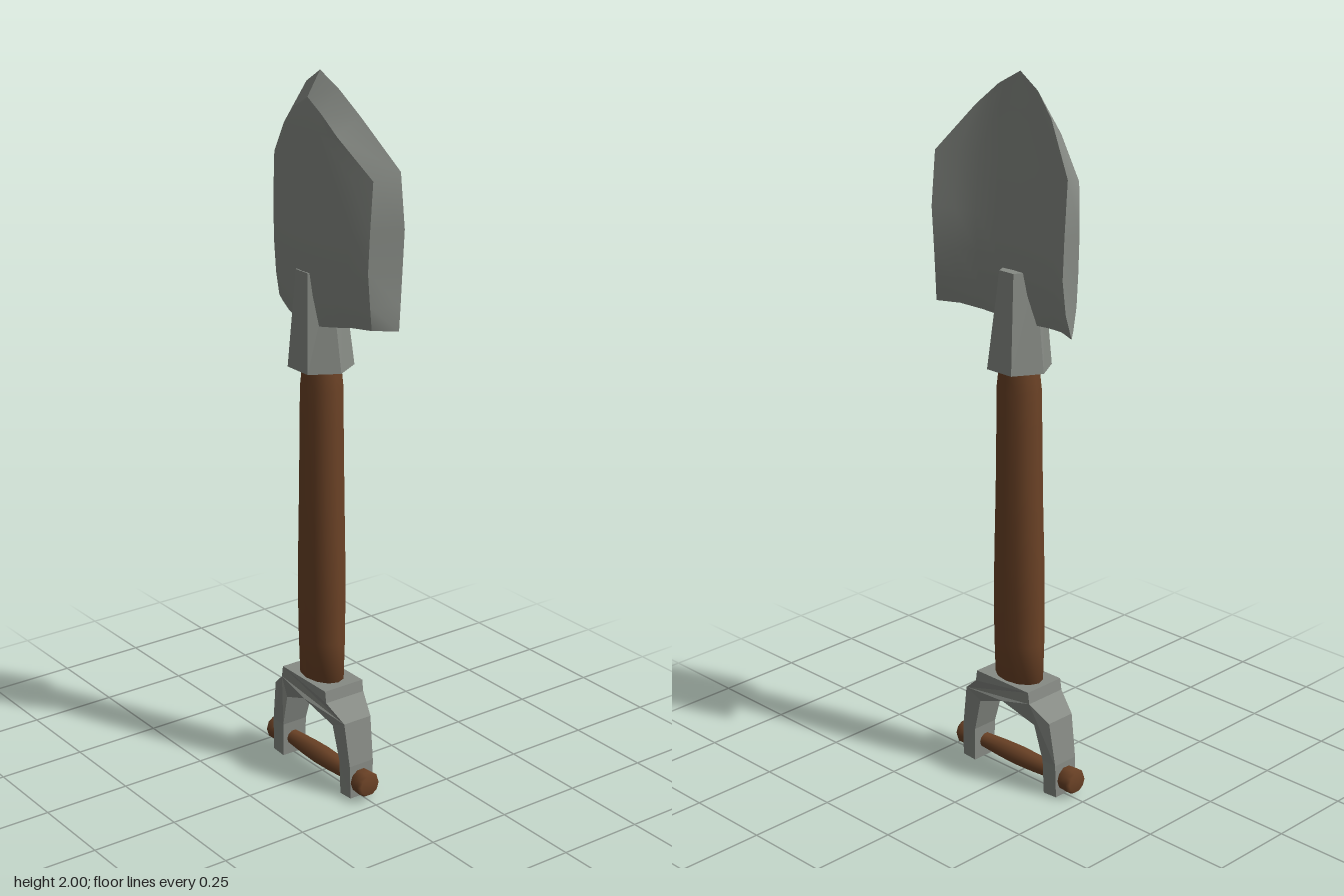
import * as THREE from 'three';
import { mergeGeometries } from 'three/addons/utils/BufferGeometryUtils.js';

const steel = new THREE.MeshStandardMaterial({ color: 0x868a84 });
steel.name = 'steel grey';
const wood = new THREE.MeshStandardMaterial({ color: 0x6b4226 });
wood.name = 'brown wood';

function part(name, geometry, material) {
  const mesh = new THREE.Mesh(geometry, material);
  mesh.name = name;
  return mesh;
}

// Smooth surface through rows of points
function sheet(rows) {
  const n = rows[0].length;
  const index = [];
  for (let i = 0; i < rows.length - 1; i++) {
    for (let j = 0; j < n - 1; j++) {
      const a = i * n + j, b = a + 1, c = a + n, d = c + 1;
      index.push(a, b, c, b, d, c);
    }
  }
  const g = new THREE.BufferGeometry().setFromPoints(rows.flat());
  g.setIndex(index);
  g.computeVertexNormals();
  return g;
}

function flat(geometry) {
  const g = geometry.index ? geometry.toNonIndexed() : geometry;
  g.computeVertexNormals();
  return g;
}

// Bowed blade face: sections are [y, half width, centre z]
function bladeRows(sections, bow) {
  return sections.map(([y, w, z], i) => {
    const row = [];
    for (let j = -4; j <= 4; j++) {
      const u = j / 4, x = u * w;
      const lift = i === 0 ? 0.025 * Math.min(1, Math.abs(u) * 1.3) : 0;
      row.push(new THREE.Vector3(x, y + lift, z - bow * x * x));
    }
    return row;
  });
}

function blade() {
  const front = bladeRows([
    [1.33, 0.205, 0.05], [1.42, 0.208, 0.06], [1.51, 0.207, 0.066], [1.62, 0.212, 0.067],
    [1.75, 0.215, 0.062], [1.85, 0.115, 0.056], [1.9, 0.06, 0.052], [1.935, 0, 0.047],
  ], 1.35);
  const back = bladeRows([
    [1.33, 0.25, 0.005], [1.42, 0.24, -0.012], [1.51, 0.236, -0.022], [1.62, 0.242, -0.02],
    [1.77, 0.24, -0.008], [1.9, 0.135, 0], [1.96, 0.07, 0.004], [2, 0, 0.007],
  ], 1.05);
  const right = front.map((r, i) => [r[8], back[i][8]]);
  const left = front.map((r, i) => [r[0], back[i][0]]).reverse();
  const bottom = front[0].map((p, j) => [p, back[0][j]]);
  return mergeGeometries([
    sheet(front),
    sheet(back.map((r) => [...r].reverse())),
    sheet(right), sheet(left), sheet(bottom),
  ]);
}

// Tapered six-sided collar joining the blade to the shaft
function socket() {
  const g = new THREE.CylinderGeometry(0.052, 0.09, 0.27, 6, 1, false, Math.PI / 6);
  const p = g.attributes.position;
  for (let i = 0; i < p.count; i++) {
    const top = p.getY(i) > 0;
    const side = p.getZ(i) / (top ? 0.045 : 0.0779);
    p.setZ(i, top ? 0.011 + side * 0.056 : 0.004 + side * 0.077);
  }
  g.translate(0, 1.345, 0);
  return flat(g);
}

// Slightly swollen, oval shaft
function shaft() {
  const profile = [
    [0, 0.29], [0.077, 0.29], [0.08, 0.42], [0.08, 0.52], [0.077, 0.66],
    [0.071, 0.85], [0.068, 1.05], [0.067, 1.15], [0.06, 1.21], [0.058, 1.23],
  ].map(([r, y]) => new THREE.Vector2(r, y));
  const g = new THREE.LatheGeometry(profile, 12);
  const p = g.attributes.position;
  for (let i = 0; i < p.count; i++) {
    const y = p.getY(i);
    p.setX(i, p.getX(i) - 0.003);
    p.setZ(i, p.getZ(i) * (0.68 + 0.14 * Math.min(1, Math.max(0, (y - 0.3) / 0.5))));
  }
  g.computeVertexNormals();
  return g;
}

// Forked yoke, deeper at the top than at the legs
function yoke() {
  const half = [
    [0.1, 0.305], [0.105, 0.272], [0.163, 0.225], [0.182, 0.1], [0.184, 0.003],
    [0.137, 0], [0.134, 0.1], [0.108, 0.2],
  ];
  const outline = [
    ...half, [0, 0.245],
    ...half.map(([x, y]) => [-x, y]).reverse(),
  ].map(([x, y]) => new THREE.Vector2(x, y));
  const g = new THREE.ExtrudeGeometry(new THREE.Shape(outline), { depth: 2, bevelEnabled: false });
  g.translate(0, 0, -1);
  const p = g.attributes.position;
  for (let i = 0; i < p.count; i++) {
    const y = p.getY(i);
    const depth = y > 0.23 ? 0.064 : 0.038 + 0.04 * Math.max(0, y - 0.05);
    p.setZ(i, p.getZ(i) * depth);
  }
  return flat(g);
}

// Turned cross grip with a knob at each end
function grip() {
  const half = [[0, 0.225], [0.03, 0.225], [0.037, 0.215], [0.035, 0.185], [0.022, 0.135], [0.027, 0.06]];
  const profile = [
    ...half.map(([r, x]) => [r, -x]), [0.029, 0], ...[...half].reverse(),
  ].map(([r, x]) => new THREE.Vector2(r, x));
  const g = new THREE.LatheGeometry(profile, 10);
  g.rotateZ(-Math.PI / 2);
  g.translate(0, 0.05, 0.003);
  return g;
}

export function createModel() {
  const shovel = new THREE.Group();
  shovel.name = 'shovel';
  shovel.add(
    part('blade', blade(), steel),
    part('socket', socket(), steel),
    part('shaft', shaft(), wood),
    part('yoke', yoke(), steel),
    part('grip', grip(), wood),
  );
  return shovel;
}
